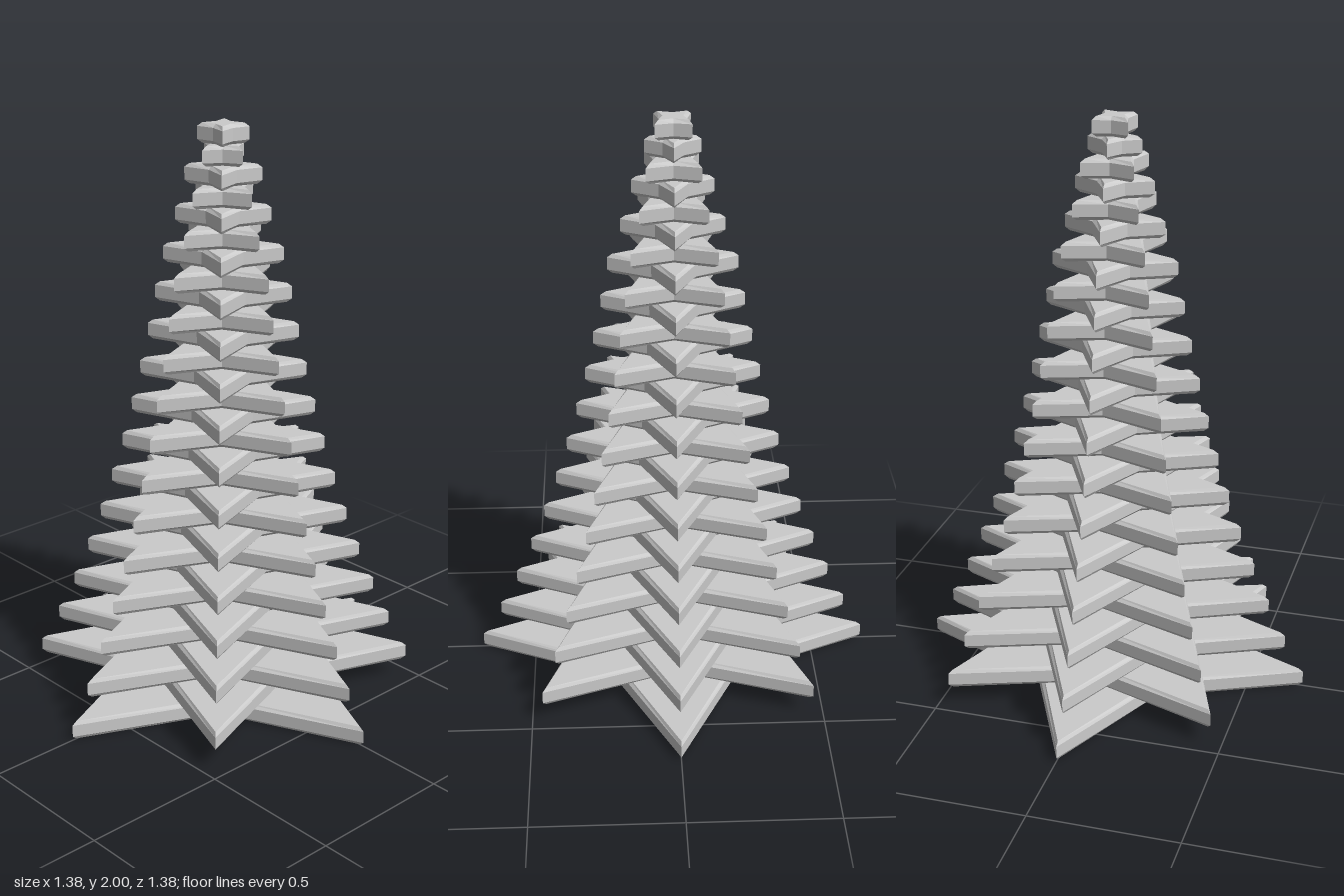
import * as THREE from 'three';

const LAYERS = 30;
const PITCH = 2 / LAYERS;
const BEVEL = 0.012;

// Tip radius: shrinks by a constant ratio, then tapers faster near the top
const crown = [0.2, 0.172, 0.158, 0.135, 0.127, 0.092, 0.085];
const tipRadius = (i) => (i < 23 ? 0.69 * Math.pow(0.9487, i) : crown[i - 23]);

// Four-pointed star outline, drawn smaller so the bevel grows it to full size
function starShape(radius) {
  const tip = radius - BEVEL * Math.SQRT2;
  const valley = radius * 0.44 + 0.008 - BEVEL * 1.05;
  const points = [];
  for (let k = 0; k < 8; k++) {
    const r = k % 2 ? valley : tip;
    const a = (k * Math.PI) / 4;
    points.push(new THREE.Vector2(r * Math.cos(a), r * Math.sin(a)));
  }
  return new THREE.Shape(points);
}

export function createModel() {
  const tree = new THREE.Group();
  tree.name = 'starTree';
  const material = new THREE.MeshStandardMaterial({ color: 0xcccccc, flatShading: true });

  // Stacked bevelled stars, every second one turned by 45 degrees
  for (let i = 0; i < LAYERS; i++) {
    const geometry = new THREE.ExtrudeGeometry(starShape(tipRadius(i)), {
      depth: PITCH - 2 * BEVEL,
      bevelEnabled: true,
      bevelThickness: BEVEL,
      bevelSize: BEVEL,
      bevelSegments: 1,
    });
    geometry.translate(0, 0, BEVEL);
    geometry.rotateX(-Math.PI / 2);
    const star = new THREE.Mesh(geometry, material);
    star.name = `starLayer${i + 1}`;
    star.position.y = i * PITCH;
    star.rotation.y = i % 2 ? Math.PI / 4 : 0;
    tree.add(star);
  }
  return tree;
}
